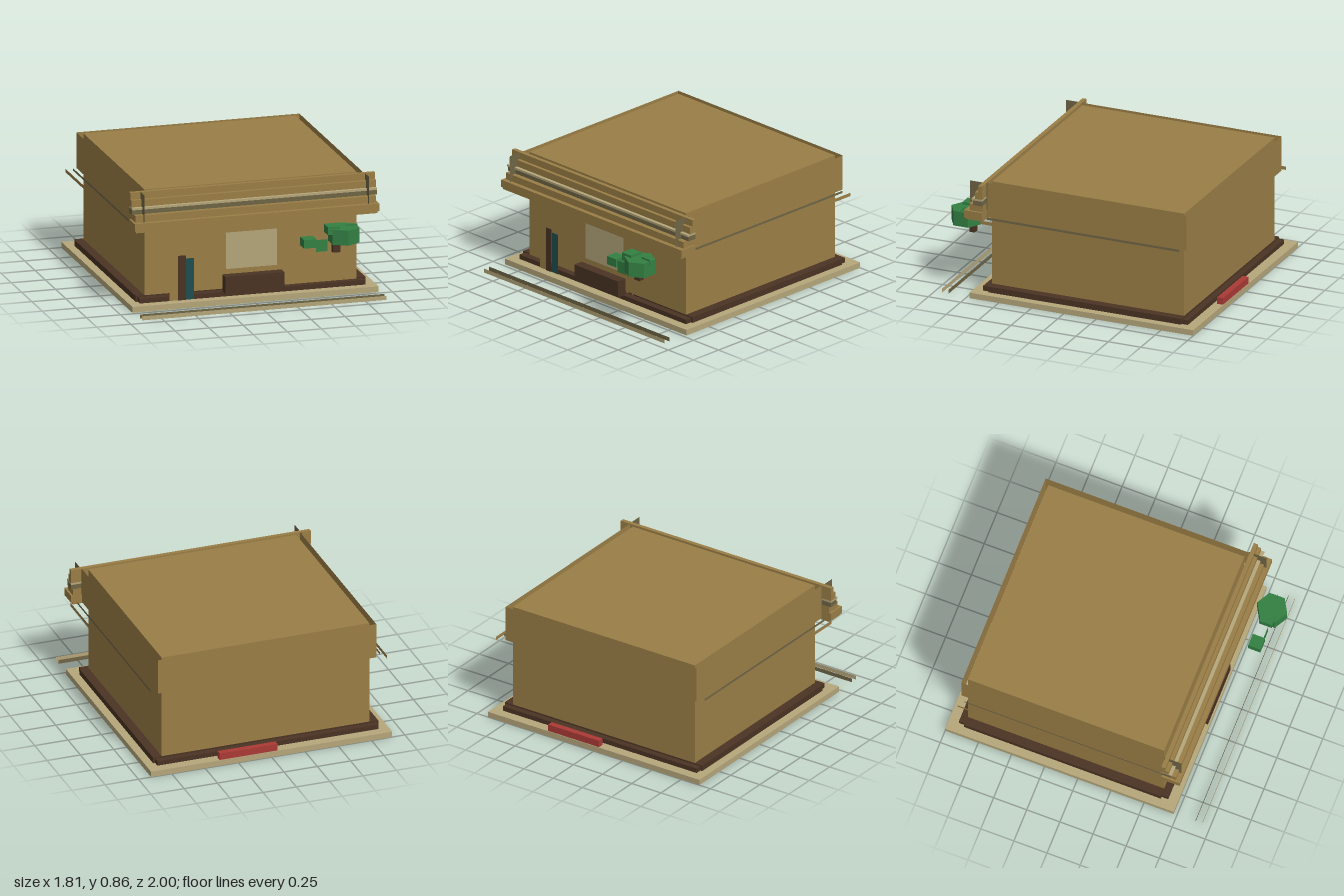
import * as THREE from 'three';

const mat = (name, color, side = THREE.FrontSide) => {
  const m = new THREE.MeshStandardMaterial({ color, side });
  m.name = name;
  return m;
};

export function createModel() {
  const model = new THREE.Group();
  model.name = 'shopBuilding';
  const D = THREE.DoubleSide;
  const brown = mat('ochre', 0x9a7e46, D);
  const sand = mat('sand', 0xb5a67a, D);
  const dark = mat('darkWood', 0x4a3323, D);
  const olive = mat('olive', 0x6f6545, D);
  const teal = mat('teal', 0x1f4e4e, D);
  const green = mat('leafGreen', 0x338043, D);
  const red = mat('red', 0xab3a36);

  const add = (name, geo, m, x, y, z) => {
    const mesh = new THREE.Mesh(geo, m);
    mesh.name = name;
    mesh.position.set(x, y, z);
    model.add(mesh);
    return mesh;
  };
  // box given by its limits on each axis
  const box = (name, m, x0, x1, y0, y1, z0, z1) =>
    add(name, new THREE.BoxGeometry(x1 - x0, y1 - y0, z1 - z0), m,
      (x0 + x1) / 2, (y0 + y1) / 2, (z0 + z1) / 2);
  // flat sheet facing front, at depth z
  const frontSheet = (name, m, x0, x1, y0, y1, z) =>
    add(name, new THREE.PlaneGeometry(x1 - x0, y1 - y0), m, (x0 + x1) / 2, (y0 + y1) / 2, z);
  // flat sheet facing sideways, at x
  const sideSheet = (name, m, x, y0, y1, z0, z1) => {
    const s = add(name, new THREE.PlaneGeometry(z1 - z0, y1 - y0), m, x, (y0 + y1) / 2, (z0 + z1) / 2);
    s.rotation.y = x > 0 ? Math.PI / 2 : -Math.PI / 2;
  };

  // base, skirting and walls
  box('basePlate', sand, -0.905, 0.905, 0, 0.042, -1, 0.725);
  box('skirtingSides', dark, -0.845, 0.845, 0.042, 0.085, -0.88, 0.605);
  box('skirtingEnds', dark, -0.83, 0.83, 0.042, 0.076, -0.925, 0.655);
  box('walls', brown, -0.78, 0.78, 0.042, 0.86, -0.875, 0.605);

  // thin fascia sheets around the roof
  frontSheet('backFascia', brown, -0.82, 0.82, 0.6, 0.862, -0.91);
  for (const s of [-1, 1]) {
    sideSheet('sideFascia', brown, s * 0.82, 0.6, 0.86, -0.91, 0.64);
    sideSheet('sideBand', olive, s * 0.86, 0.598, 0.615, -0.87, 0.61);
    sideSheet('sideTrim', brown, s * 0.9, 0.575, 0.6, -0.91, 0.64);
    sideSheet('corniceBracket', olive, s * 0.825, 0.66, 0.86, 0.62, 0.755);
  }

  // stepped front cornice: half width, bottom, top, front depth
  const steps = [
    [0.9, 0.81, 0.86, 0.66, brown],
    [0.9, 0.76, 0.81, 0.685, brown],
    [0.9, 0.745, 0.76, 0.71, sand],
    [0.9, 0.71, 0.745, 0.7, olive],
    [0.885, 0.66, 0.71, 0.735, brown],
    [0.9, 0.605, 0.66, 0.768, brown],
    [0.888, 0.59, 0.605, 0.76, brown],
  ];
  for (const [w, y0, y1, z, m] of steps) box('corniceStep', m, -w, w, y0, y1, 0.63, z);

  // front window, door panels and bench
  frontSheet('window', sand, -0.19, 0.185, 0.235, 0.502, 0.635);
  frontSheet('doorPanel', brown, -0.615, -0.552, 0.045, 0.347, 0.665);
  frontSheet('doorPost', dark, -0.552, -0.495, 0.045, 0.372, 0.67);
  frontSheet('doorLeaf', teal, -0.495, -0.435, 0.045, 0.347, 0.665);
  box('bench', dark, -0.22, 0.215, 0.08, 0.202, 0.645, 0.718);

  // loose strips along the front
  frontSheet('frontStrip', sand, -0.9, 0.9, 0.003, 0.033, 0.94);
  frontSheet('frontStripBack', olive, -0.9, 0.9, 0.003, 0.033, 0.89);

  // rear block
  box('rearStep', red, -0.045, 0.39, 0.045, 0.095, -1, -0.955);

  // foliage
  const crown = new THREE.CylinderGeometry(0.113, 0.113, 0.11, 6).toNonIndexed();
  crown.computeVertexNormals();
  add('treeCrown', crown, green, 0.6, 0.495, 0.885);
  box('treeTrunk', dark, 0.527, 0.58, 0.36, 0.44, 0.83, 0.87);
  box('crownTuft', green, 0.47, 0.56, 0.51, 0.568, 0.835, 0.932);
  frontSheet('crownLeaf', green, 0.615, 0.7, 0.52, 0.563, 0.885);
  box('leafBlock', green, 0.3, 0.392, 0.42, 0.482, 0.82, 0.912);
  frontSheet('leafSheet', green, 0.392, 0.476, 0.385, 0.472, 0.9);

  return model;
}
